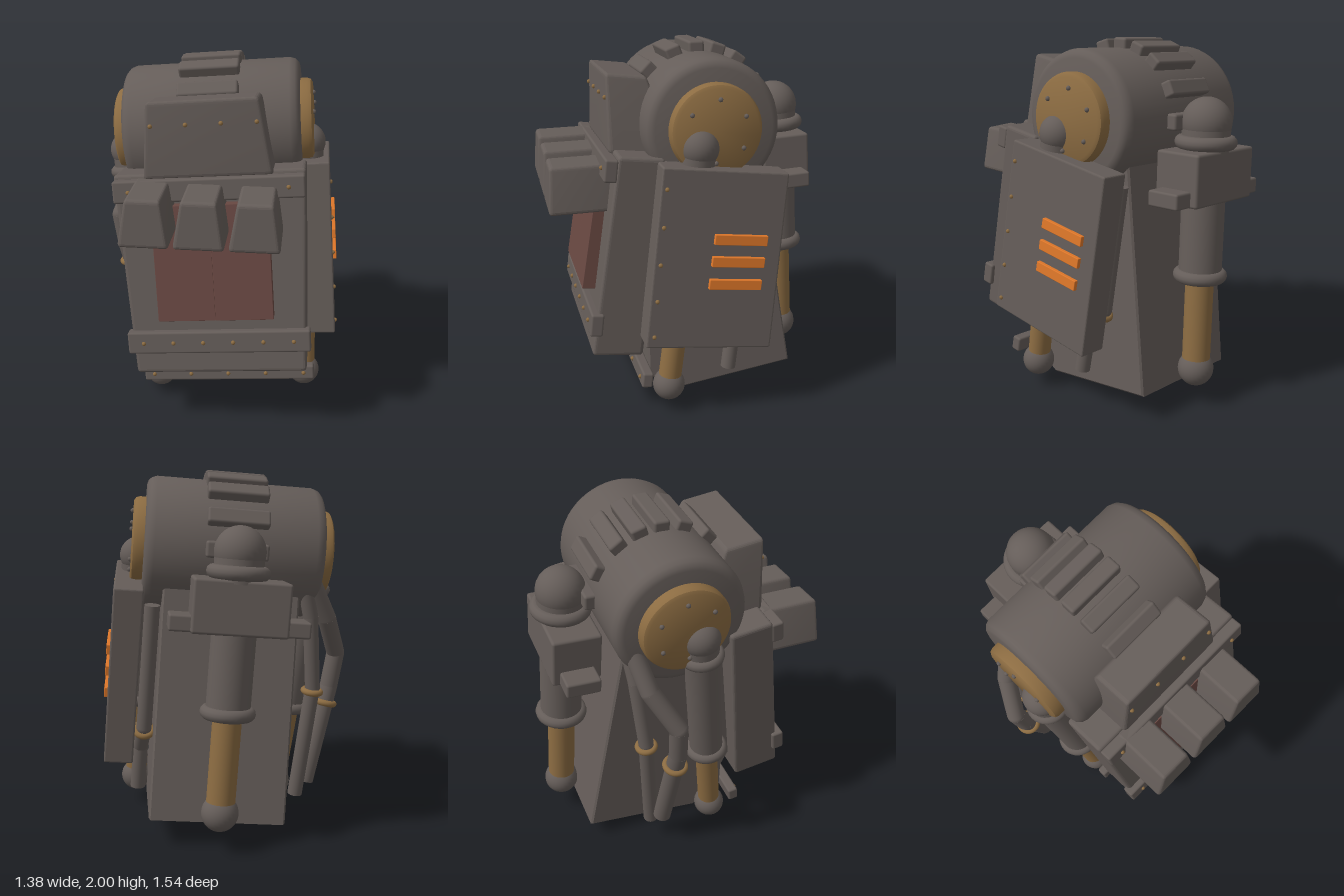
import * as THREE from 'three';
import { toCreasedNormals } from 'three/addons/utils/BufferGeometryUtils.js';
import { RoundedBoxGeometry } from 'three/addons/geometries/RoundedBoxGeometry.js';

const mat = (name, color) => {
  const m = new THREE.MeshStandardMaterial({ color });
  m.name = name;
  return m;
};

export function createModel() {
  const grey = mat('dark metal', 0x655d59);
  const brass = mat('brass', 0x8c6c42);
  const red = mat('dull red', 0x694842);
  const orange = mat('vent orange', 0xe0782a);
  const UP = new THREE.Vector3(0, 1, 0);

  const model = new THREE.Group();
  model.name = 'backpack';
  // everything but the canopy leans slightly sideways and back
  const pack = new THREE.Group();
  pack.name = 'leaningPack';
  pack.rotation.set(-0.13, 0, 0.08, 'ZYX');
  pack.position.x = 0.09;
  model.add(pack);

  const add = (parent, name, geo, m, x = 0, y = 0, z = 0) => {
    const mesh = new THREE.Mesh(geo, m);
    mesh.name = name;
    mesh.position.set(x, y, z);
    parent.add(mesh);
    return mesh;
  };
  const box = (parent, name, m, w, h, d, x, y, z, r = 0.012) =>
    add(parent, name, new RoundedBoxGeometry(w, h, d, 2, r), m, x, y, z);

  // tapered rounded block; bottom and top are [halfWidth, zBack, zFront]
  const block = (parent, name, m, x, y0, y1, bottom, top, r = 0.02) => {
    const h = y1 - y0;
    const w = 2 * Math.max(bottom[0], top[0]);
    const d = Math.max(bottom[2] - bottom[1], top[2] - top[1]);
    const g = new RoundedBoxGeometry(w, h, d, 2, r);
    const p = g.attributes.position;
    for (let i = 0; i < p.count; i++) {
      const t = p.getY(i) / h + 0.5;
      const [hx, zb, zf] = bottom.map((b, k) => b + (top[k] - b) * t);
      p.setXYZ(i, (p.getX(i) / w) * 2 * hx, y0 + t * h, zb + (p.getZ(i) / d + 0.5) * (zf - zb));
    }
    return add(parent, name, toCreasedNormals(g, 0.2), m, x, 0, 0);
  };
  const rivet = (x, y, z) =>
    add(pack, 'rivet', new THREE.SphereGeometry(0.012, 8, 6), brass, x, y, z);
  const rod = (parent, name, m, r, y0, y1) =>
    add(parent, name, new THREE.CylinderGeometry(r, r, y1 - y0, 28), m, 0, (y0 + y1) / 2, 0);
  const ring = (parent, name, m, R, r, y) => {
    const t = add(parent, name, new THREE.TorusGeometry(R, r, 12, 32), m, 0, y, 0);
    t.rotation.x = Math.PI / 2;
    return t;
  };
  // group whose y axis runs from a to b
  const along = (name, a, b) => {
    const g = new THREE.Group();
    g.name = name;
    g.position.copy(a);
    g.quaternion.setFromUnitVectors(UP, b.clone().sub(a).normalize());
    pack.add(g);
    return g;
  };
  const V = (x, y, z) => new THREE.Vector3(x, y, z);

  // main shell, extruded from its side profile
  const side = new THREE.Shape(
    [[-0.1, 0.045], [0.54, 0.21], [0.18, 1.43], [-0.42, 1.42], [-0.42, 0.5], [-0.3, 0.3], [-0.28, 0.12]]
      .map(([z, y]) => new THREE.Vector2(z, y)));
  const shell = new THREE.ExtrudeGeometry(side, {
    depth: 0.72, bevelEnabled: true, bevelSize: 0.01, bevelThickness: 0.01, bevelSegments: 1 });
  shell.translate(0, 0, -0.36).rotateY(Math.PI / 2);
  add(pack, 'shell', shell, grey);

  // front panel with bars and double doors
  block(pack, 'frontPanel', grey, 0, 0.29, 1.41, [0.47, 0.36, 0.64], [0.51, 0.36, 0.605]);
  box(pack, 'topBar', grey, 1.01, 0.12, 0.07, 0, 1.33, 0.635);
  box(pack, 'middleBar', grey, 1.0, 0.125, 0.07, 0, 0.48, 0.635);
  box(pack, 'bottomBar', grey, 1.0, 0.085, 0.06, 0, 0.15, 0.325);
  for (const x of [-0.42, 0, 0.42]) rivet(x, 1.33, 0.672);
  for (let i = 0; i < 6; i++) rivet(-0.41 + i * 0.164, 0.48, 0.672);
  for (let i = 0; i < 5; i++) rivet(-0.44 + i * 0.22, 0.15, 0.357);
  for (const s of [-1, 1])
    block(pack, 'door', red, s * 0.155, 0.62, 1.25, [0.155, 0.6, 0.7], [0.155, 0.58, 0.667], 0.002);

  // hood in front of the drum
  block(pack, 'hood', grey, 0, 1.38, 1.795, [0.345, 0.25, 0.625], [0.29, 0.45, 0.67], 0.025);
  for (let i = 0; i < 4; i++) rivet(-0.275 + i * 0.183, 1.67, 0.66);

  // drum lying across the top, with end caps and cleats
  const drum = new THREE.Group();
  drum.name = 'drum';
  drum.position.set(0, 1.576, 0.112);
  pack.add(drum);
  const lathe = (pts) => {
    const g = new THREE.LatheGeometry(pts.map(([r, y]) => new THREE.Vector2(r, y)), 56);
    return toCreasedNormals(g.rotateZ(-Math.PI / 2), 0.6);
  };
  add(drum, 'drumBody', lathe([[0, -0.483], [0.315, -0.483], [0.335, -0.477], [0.353, -0.46], [0.363, -0.43],
    [0.363, 0.43], [0.353, 0.46], [0.335, 0.477], [0.315, 0.483], [0, 0.483]]), grey);
  for (const s of [-1, 1]) {
    const cap = add(drum, 'endCap', lathe([[0.245, 0.47], [0.245, 0.52], [0.237, 0.54], [0.22, 0.55], [0, 0.55]]), brass);
    if (s < 0) cap.rotation.y = Math.PI;
    for (let i = 0; i < 6; i++) {
      const a = ((i * 60 + 27) * Math.PI) / 180;
      add(drum, 'capRivet', new THREE.SphereGeometry(0.013, 8, 6), grey,
        s * 0.553, 0.165 * Math.sin(a), 0.165 * Math.cos(a));
    }
  }
  for (const deg of [-81, -55, -29, -10, 8, 27, 52, 70]) {
    const a = (deg * Math.PI) / 180;
    const c = box(drum, 'cleat', grey, 0.33, 0.07, 0.087, 0, 0.381 * Math.cos(a), 0.381 * Math.sin(a), 0.014);
    c.rotation.x = a;
  }

  const dome = (parent, r, y) =>
    add(parent, 'dome', new THREE.SphereGeometry(r, 28, 18), grey, 0, y, 0);

  // front struts
  for (const s of [-1, 1]) {
    const leg = along('frontStrut', V(s * 0.434, 0.1, 0.185), V(s * 0.506, 1.47, 0.19));
    add(leg, 'foot', new THREE.SphereGeometry(0.09, 28, 18), grey);
    rod(leg, 'strutRod', brass, 0.064, 0, 0.55);
    rod(leg, 'strutSleeve', grey, 0.095, 0.52, 1.38);
    ring(leg, 'lowerCollar', grey, 0.088, 0.034, 0.52);
    ring(leg, 'upperCollar', grey, 0.088, 0.034, 1.26);
    dome(leg, 0.105, 1.38);
  }

  // bent hoses on the right; clamp is [segment, distance along it]
  const hose = (r, pts, clamp) => {
    for (let i = 0; i < pts.length - 1; i++) {
      const seg = along('hose', pts[i], pts[i + 1]);
      rod(seg, 'hoseSegment', grey, r, 0, pts[i].distanceTo(pts[i + 1]));
      if (i) add(seg, 'hoseBend', new THREE.SphereGeometry(r, 18, 12), grey);
      if (i === clamp[0]) ring(seg, 'hoseClamp', brass, r + 0.004, 0.018, clamp[1]);
    }
  };
  hose(0.051, [V(-0.42, 1.5, -0.16), V(-0.55, 1.27, -0.13), V(-0.652, 1.04, -0.03),
    V(-0.635, 0.84, -0.045), V(-0.54, 0.28, -0.155)], [3, 0.1]);
  hose(0.042, [V(-0.4, 1.45, -0.17), V(-0.45, 1.28, -0.17), V(-0.51, 0.87, -0.18),
    V(-0.48, 0.22, -0.21)], [2, 0.02]);
  // hose tucked behind the side box on the left
  hose(0.042, [V(0.42, 1.3, -0.21), V(0.42, 0.6, -0.235), V(0.43, 0.45, -0.155), V(0.43, 0.2, -0.155)], [1, 0.02]);

  // side box with vents, on the left only
  block(pack, 'sideBox', grey, 0.55, 0.41, 1.395, [0.08, -0.308, 0.39], [0.08, -0.275, 0.4], 0.01);
  for (const y of [1.03, 0.908, 0.782]) box(pack, 'vent', orange, 0.03, 0.056, 0.29, 0.636, y, -0.055, 0.004);
  for (let i = 0; i < 5; i++) rivet(0.631, 0.475 + i * 0.202, 0.352 + i * 0.004);

  // single rear strut with its bracket
  const rear = along('rearStrut', V(0, 0.297, -0.61), V(0, 1.69, -0.37));
  add(rear, 'rearFoot', new THREE.SphereGeometry(0.1, 28, 18), grey);
  rod(rear, 'rearRod', brass, 0.078, 0, 0.58);
  rod(rear, 'rearSleeve', grey, 0.118, 0.54, 1.05);
  ring(rear, 'rearCollar', grey, 0.112, 0.036, 0.545);
  box(rear, 'bracket', grey, 0.5, 0.28, 0.27, -0.018, 1.1, 0.01, 0.015);
  for (const s of [-1, 1]) box(rear, 'bracketWing', grey, 0.14, 0.085, 0.19, s * 0.295 - 0.022, 1.005, 0.01);
  rod(rear, 'domeBase', grey, 0.13, 1.22, 1.375);
  ring(rear, 'domeCollar', grey, 0.13, 0.037, 1.275);
  dome(rear, 0.135, 1.378);

  // three level canopy blocks over the doors
  for (const x of [-0.316, -0.036, 0.245])
    block(model, 'canopyBlock', grey, x, 1.178, 1.43, [0.132, 0.42, 0.772], [0.09, 0.42, 0.754], 0.02);

  return model;
}
